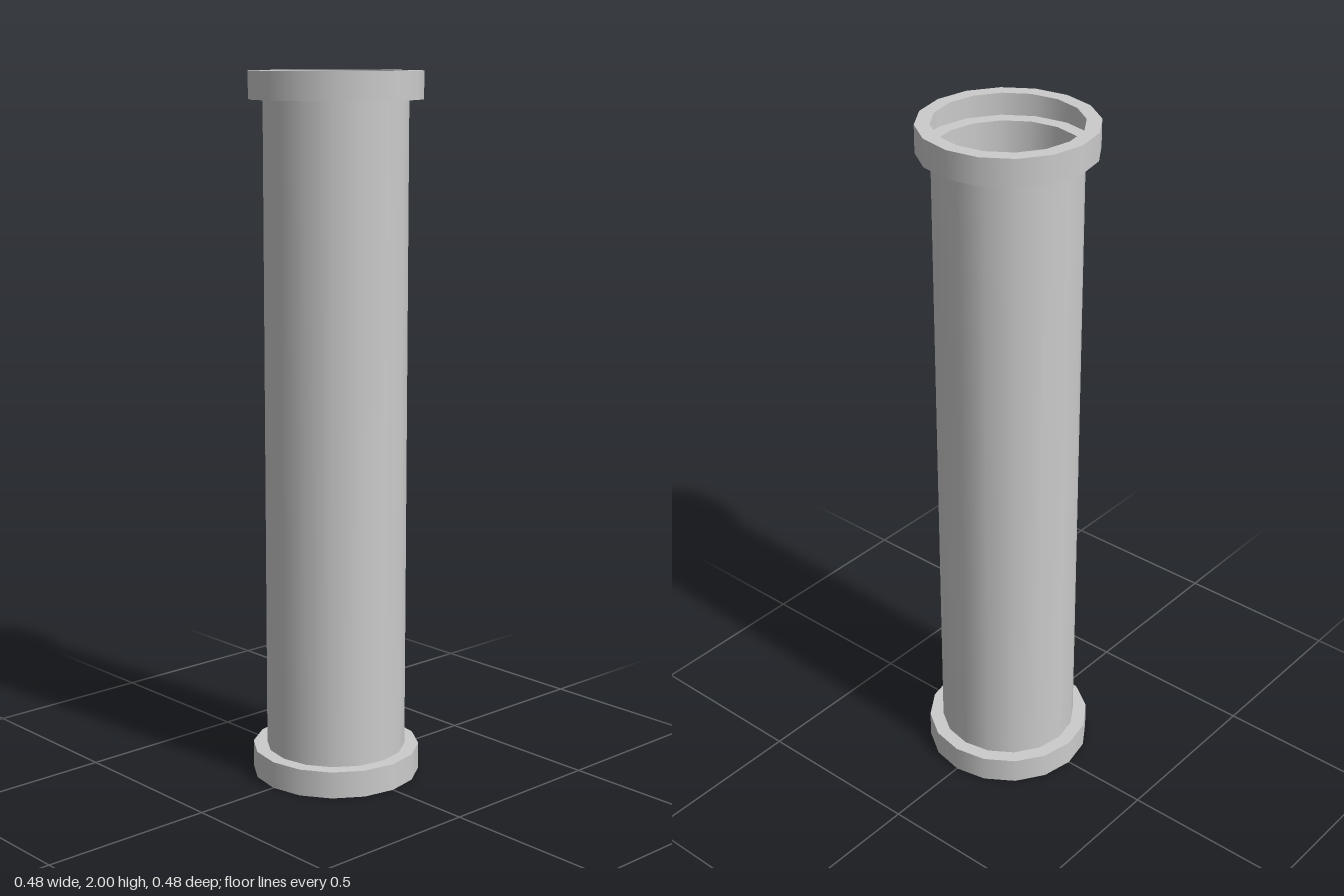
import * as THREE from 'three';

const SIDES = 16;
const HEIGHT = 2;
const PIPE_R = 0.2;
const COLLAR_R = 0.24;
const COLLAR_H = 0.077;

const material = new THREE.MeshStandardMaterial({ color: 0xcccccc, side: THREE.DoubleSide });

// Open-ended wall, smooth around its circumference
function wall(name, radius, y0, y1) {
  const geometry = new THREE.CylinderGeometry(radius, radius, y1 - y0, SIDES, 1, true);
  const mesh = new THREE.Mesh(geometry, material);
  mesh.name = name;
  mesh.position.y = (y0 + y1) / 2;
  return mesh;
}

// Flat annular face, turned up (+1) or down (-1)
function flatRing(name, y, facing) {
  const geometry = new THREE.RingGeometry(PIPE_R, COLLAR_R, SIDES);
  geometry.rotateX(-facing * Math.PI / 2);
  const mesh = new THREE.Mesh(geometry, material);
  mesh.name = name;
  mesh.position.y = y;
  return mesh;
}

// End collar: a thin shell, open on the inside so it forms a groove
function collar(name, y0) {
  const group = new THREE.Group();
  group.name = name;
  group.add(
    wall('collarWall', COLLAR_R, y0, y0 + COLLAR_H),
    flatRing('collarUpperFace', y0 + COLLAR_H, 1),
    flatRing('collarLowerFace', y0, -1)
  );
  return group;
}

export function createModel() {
  const model = new THREE.Group();
  model.name = 'flangedPipe';
  model.add(
    wall('pipe', PIPE_R, COLLAR_H, HEIGHT - COLLAR_H),
    collar('bottomCollar', 0),
    collar('topCollar', HEIGHT - COLLAR_H)
  );
  return model;
}
